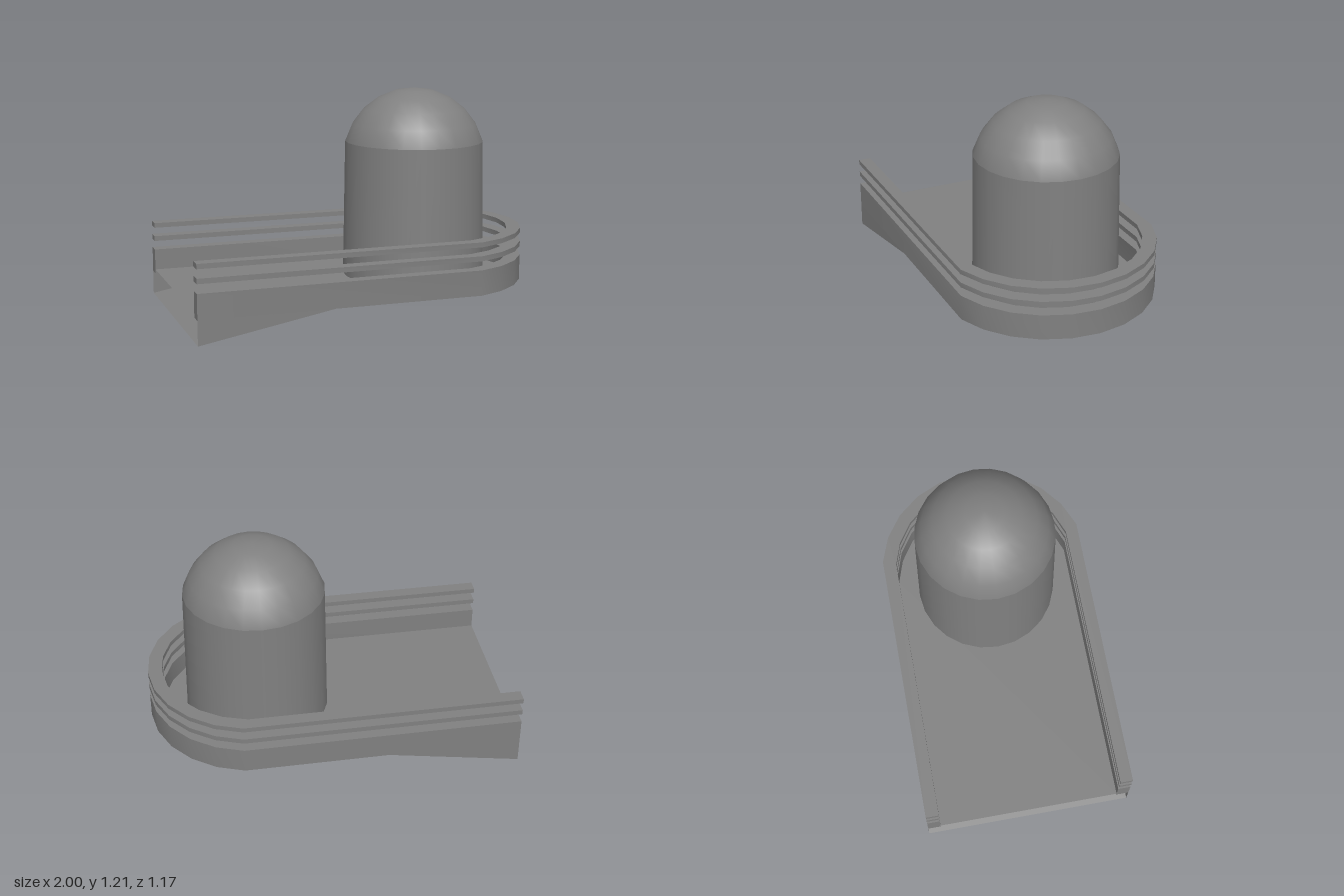
import * as THREE from 'three';
import { toCreasedNormals } from 'three/addons/utils/BufferGeometryUtils.js';

const BACK = -0.995, ARC_X = 0.406, ARC_TWIST = 0.03;
const UNDERSIDE = 0.143, FLOOR = 0.166, RIM_TOP = 0.283;
const RAMP_START = -0.26, RAMP_LOW = 0.01;

// U-shaped outline: straight sides joined by a ten-sided arc
function outline(radius, degrees, back = BACK) {
  const half = THREE.MathUtils.degToRad(degrees);
  const points = [];
  for (let i = 0; i <= 10; i++) {
    const a = half * (i / 5 - 1) + ARC_TWIST;
    points.push(new THREE.Vector2(ARC_X + radius * Math.cos(a), radius * Math.sin(a)));
  }
  const start = new THREE.Vector2(back, points[0].y);
  const end = new THREE.Vector2(back, points[10].y);
  return [start, ...points, end];
}

const outer = (back) => outline(0.594, 76, back);
const inner = () => outline(0.517, 78);

function addMesh(parent, name, geometry, material) {
  const mesh = new THREE.Mesh(geometry, material);
  mesh.name = name;
  parent.add(mesh);
  return mesh;
}

// Solid band that follows the outline between two heights
function bandGeometry(y0, y1) {
  const shape = new THREE.Shape([...outer(), ...inner().reverse()]);
  const geometry = new THREE.ExtrudeGeometry(shape, { depth: y1 - y0, bevelEnabled: false });
  geometry.rotateX(-Math.PI / 2).translate(0, y0, 0);
  return toCreasedNormals(geometry, 0.5);
}

// Flat horizontal sheet inside an outline
function sheetGeometry(points, y) {
  return new THREE.ShapeGeometry(new THREE.Shape(points)).rotateX(-Math.PI / 2).translate(0, y, 0);
}

export function createModel() {
  const model = new THREE.Group();
  model.name = 'domedPlatform';
  const solid = new THREE.MeshStandardMaterial({ color: 0x808080 });
  const sheet = new THREE.MeshStandardMaterial({ color: 0x808080, side: THREE.DoubleSide });
  const body = new THREE.Group();
  body.name = 'body';
  body.rotation.y = 0.009;
  model.add(body);

  // Rim wall and two rails above it
  addMesh(body, 'rimWall', bandGeometry(UNDERSIDE, RIM_TOP), solid);
  addMesh(body, 'lowerRail', bandGeometry(0.333, 0.361), solid);
  addMesh(body, 'upperRail', bandGeometry(0.41, 0.437), solid);

  // Floor between the walls and flat underside ahead of the ramp
  addMesh(body, 'floor', sheetGeometry(inner(), FLOOR), sheet);
  addMesh(body, 'underside', sheetGeometry(outer(RAMP_START), UNDERSIDE), sheet);

  // Sloping underside, open at the back end
  const frontZ = -outer()[0].y, backZ = -outer()[12].y;
  const rampGeometry = new THREE.PlaneGeometry(RAMP_START - BACK, frontZ - backZ);
  rampGeometry.rotateX(-Math.PI / 2);
  rampGeometry.translate((RAMP_START + BACK) / 2, 0, (frontZ + backZ) / 2);
  const position = rampGeometry.attributes.position;
  for (let i = 0; i < position.count; i++) {
    position.setY(i, position.getX(i) < -0.6 ? RAMP_LOW : UNDERSIDE);
  }
  rampGeometry.computeVertexNormals();
  addMesh(body, 'ramp', rampGeometry, sheet);

  // Triangular skirts beside the ramp
  const skirtShape = new THREE.Shape([
    new THREE.Vector2(BACK, RAMP_LOW),
    new THREE.Vector2(RAMP_START, UNDERSIDE),
    new THREE.Vector2(BACK, UNDERSIDE),
  ]);
  addMesh(body, 'frontSkirt', new THREE.ShapeGeometry(skirtShape), sheet).position.z = frontZ;
  const backSkirtGeometry = new THREE.ShapeGeometry(skirtShape);
  backSkirtGeometry.index.array.reverse();
  backSkirtGeometry.computeVertexNormals();
  addMesh(body, 'backSkirt', backSkirtGeometry, sheet).position.z = backZ;

  // Slightly tapered tower with a rounded cap
  const tower = new THREE.Group();
  tower.name = 'tower';
  tower.position.x = 0.393;
  body.add(tower);
  const capRadius = 0.4015, capAngle = THREE.MathUtils.degToRad(75), capCentre = 0.817;
  const shoulder = capCentre + capRadius * Math.cos(capAngle);
  const wallGeometry = new THREE.CylinderGeometry(
    capRadius * Math.sin(capAngle), 0.4, shoulder - FLOOR, 24, 1, true);
  wallGeometry.rotateY(Math.PI / 2).translate(0, (shoulder + FLOOR) / 2, 0);
  addMesh(tower, 'towerWall', wallGeometry, sheet);
  const capGeometry = new THREE.SphereGeometry(capRadius, 24, 5, 0, Math.PI * 2, 0, capAngle);
  addMesh(tower, 'towerDome', capGeometry.translate(0, capCentre, 0), sheet);

  return model;
}
